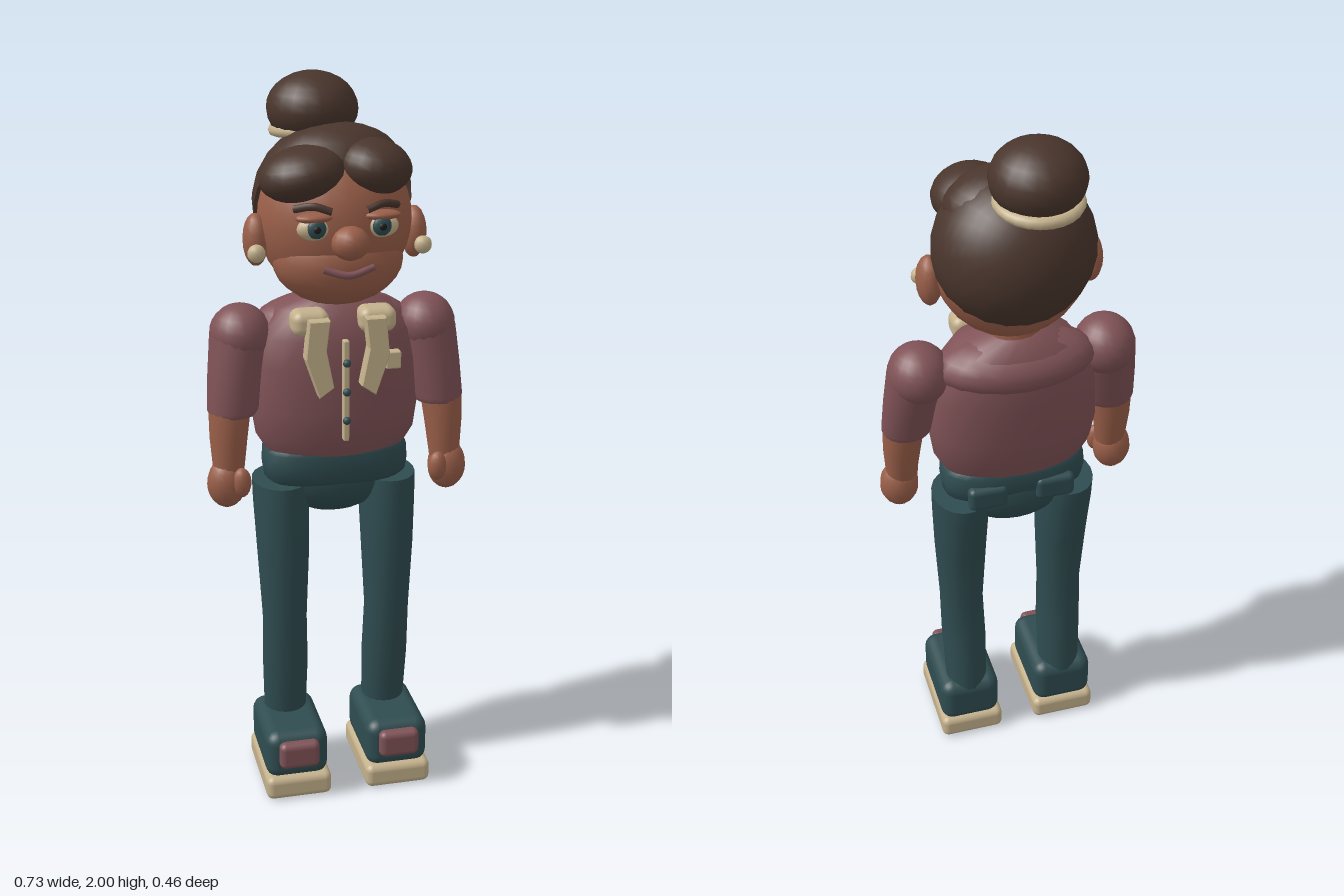
import * as THREE from 'three';
import { RoundedBoxGeometry } from 'three/addons/geometries/RoundedBoxGeometry.js';

const mat = (name, color) => {
  const m = new THREE.MeshStandardMaterial({ color });
  m.name = name;
  return m;
};

// Lofted solid from ascending rings [y, centreX, radiusX, centreZ, radiusZ]; power < 1 squares the section
function loft(rings, power = 1, sides = 18) {
  const point = r => [r[0], r[1], 0, r[3], 0];
  const first = rings[0], last = rings[rings.length - 1];
  const all = [point(first), first, ...rings, last, point(last)];
  const pos = [], idx = [];
  const bend = v => Math.sign(v) * Math.abs(v) ** power;
  all.forEach(([y, cx, rx, cz, rz], k) => {
    for (let j = 0; j < sides; j++) {
      const a = (j / sides) * Math.PI * 2;
      pos.push(cx + rx * bend(Math.cos(a)), y, cz + rz * bend(Math.sin(a)));
      if (k === all.length - 1) continue;
      const p = k * sides + j, q = k * sides + (j + 1) % sides;
      idx.push(p, p + sides, q, q, p + sides, q + sides);
    }
  });
  const g = new THREE.BufferGeometry();
  g.setAttribute('position', new THREE.Float32BufferAttribute(pos, 3));
  g.setIndex(idx);
  g.computeVertexNormals();
  return g;
}

export function createModel() {
  const root = new THREE.Group();
  root.name = 'standingFigure';
  const skin = mat('skin', 0x9a5f49), hair = mat('hair', 0x49352c), shirt = mat('shirt', 0x7f5256);
  const teal = mat('trousers', 0x2f4c50), cream = mat('cream', 0xc4b18c), dark = mat('dark', 0x1f1a1a);
  const hairShell = mat('hairShell', 0x49352c);
  hairShell.side = THREE.DoubleSide;

  const add = (name, geo, material, x = 0, y = 0, z = 0) => {
    const m = new THREE.Mesh(geo, material);
    m.name = name;
    m.position.set(x, y, z);
    root.add(m);
    return m;
  };
  const blob = (name, material, [x, y, z], [rx, ry, rz], w = 20, h = 14) => {
    const m = add(name, new THREE.SphereGeometry(1, w, h), material, x, y, z);
    m.scale.set(rx, ry, rz);
    return m;
  };
  const box = (name, material, [x, y, z], [w, h, d], r) =>
    add(name, new RoundedBoxGeometry(w, h, d, 3, r), material, x, y, z);
  const tube = (name, material, pts, r) => add(name, new THREE.TubeGeometry(
    new THREE.CatmullRomCurve3(pts.map(p => new THREE.Vector3(...p))), 12, r, 8), material);

  // Head
  blob('head', skin, [0, 1.635, 0], [0.205, 0.215, 0.18], 24, 18);
  blob('jaw', skin, [0, 1.54, 0.04], [0.175, 0.125, 0.14]);
  blob('nose', skin, [0, 1.61, 0.185], [0.05, 0.044, 0.045], 12, 10);
  add('neck', new THREE.CylinderGeometry(0.075, 0.085, 0.14, 16), skin, 0, 1.41, -0.01);
  tube('mouth', shirt, [[-0.065, 1.54, 0.168], [0, 1.525, 0.182], [0.065, 1.54, 0.168]], 0.01);

  // Hair: tilted back shell, crown, two fringe lobes and a tied bun
  const shell = new THREE.SphereGeometry(1, 24, 12, 0, Math.PI * 2, 0, Math.PI * 0.51);
  shell.rotateX(-1.15);
  add('backHair', shell, hairShell, 0, 1.675, -0.02).scale.set(0.213, 0.208, 0.2);
  blob('crownHair', hair, [0.01, 1.785, 0.0], [0.165, 0.098, 0.125]);
  blob('rightFringe', hair, [-0.1, 1.77, 0.075], [0.115, 0.07, 0.108]).rotation.z = 0.2;
  blob('leftFringe', hair, [0.085, 1.782, 0.08], [0.1, 0.072, 0.105]).rotation.z = -0.15;
  blob('bun', hair, [-0.035, 1.905, -0.108], [0.122, 0.096, 0.122]);
  const band = add('bunBand', new THREE.TorusGeometry(0.1, 0.016, 8, 24), cream, -0.035, 1.848, -0.115);
  band.rotation.x = Math.PI / 2 - 0.08;

  // Torso and neckwear
  add('torso', loft([
    [1.0, 0, 0.19, 0.0, 0.105], [1.05, 0, 0.22, 0.0, 0.122], [1.13, 0, 0.232, -0.005, 0.135],
    [1.25, 0, 0.225, -0.01, 0.137], [1.33, 0, 0.21, -0.015, 0.135], [1.4, 0, 0.16, -0.02, 0.115],
    [1.435, 0, 0.07, -0.02, 0.07]], 0.9, 24), shirt);
  blob('yoke', shirt, [0, 1.345, -0.04], [0.215, 0.085, 0.12]);
  box('placket', cream, [0, 1.2, 0.137], [0.016, 0.28, 0.024], 0.004);
  for (const y of [1.12, 1.2, 1.28]) blob('button', teal, [0, y, 0.152], [0.011, 0.011, 0.01], 10, 8);
  box('chestTag', cream, [0.13, 1.275, 0.125], [0.042, 0.048, 0.03], 0.005);

  // Hips
  add('waistband', loft([
    [0.91, 0, 0.18, 0, 0.085], [0.925, 0, 0.198, 0, 0.1], [0.96, 0, 0.203, -0.002, 0.108],
    [1.0, 0, 0.2, -0.002, 0.108], [1.015, 0, 0.185, -0.002, 0.1]], 0.75, 24), teal);
  blob('pelvis', teal, [0, 0.92, -0.01], [0.165, 0.118, 0.098]);

  for (const s of [1, -1]) {
    const side = s > 0 ? 'left' : 'right';
    // Face details
    blob(side + 'Ear', skin, [s * 0.213, 1.59, 0.012], [0.034, 0.07, 0.045], 14, 10);
    blob(side + 'Earring', cream, [s * 0.222, 1.568, 0.075], [0.024, 0.024, 0.02], 12, 10);
    blob(side + 'EyeWhite', cream, [s * 0.088, 1.645, 0.156], [0.045, 0.03, 0.026], 16, 12);
    blob(side + 'Iris', teal, [s * 0.085, 1.648, 0.176], [0.025, 0.025, 0.012], 14, 10);
    blob(side + 'Pupil', dark, [s * 0.085, 1.648, 0.184], [0.011, 0.011, 0.006], 10, 8);
    blob(side + 'Eyelid', skin, [s * 0.088, 1.674, 0.161], [0.05, 0.013, 0.026], 14, 10);
    tube(side + 'Brow', hair,
      [[s * 0.045, 1.69, 0.174], [s * 0.09, 1.703, 0.162], [s * 0.135, 1.693, 0.136]], 0.01);

    // Collar and hanging ribbon
    box(side + 'Collar', cream, [s * 0.09, 1.385, 0.1], [0.1, 0.068, 0.08], 0.025);
    const ribbon = new THREE.Shape([[0.1, 1.4], [0.05, 1.4], [0.06, 1.32], [0.04, 1.22],
      [0.075, 1.195], [0.11, 1.3]].map(([x, y]) => new THREE.Vector2(s * x, y)));
    add(side + 'Ribbon', new THREE.ExtrudeGeometry(ribbon,
      { depth: 0.035, bevelEnabled: true, bevelSize: 0.003, bevelThickness: 0.004, bevelSegments: 1 }),
    cream, 0, 0, 0.128);

    // Arm
    blob(side + 'Shoulder', shirt, [s * 0.255, 1.33, -0.012], [0.083, 0.083, 0.088]);
    add(side + 'Sleeve', loft([
      [1.12, s * 0.287, 0.062, 0.027, 0.056], [1.135, s * 0.285, 0.07, 0.025, 0.062],
      [1.23, s * 0.273, 0.076, 0.008, 0.07], [1.33, s * 0.258, 0.081, -0.01, 0.082]]), shirt);
    add(side + 'Forearm', loft([
      [0.96, s * 0.303, 0.042, 0.045, 0.038], [1.06, s * 0.3, 0.052, 0.036, 0.05],
      [1.14, s * 0.294, 0.058, 0.028, 0.053]]), skin);
    blob(side + 'Hand', skin, [s * 0.31, 0.93, 0.048], [0.054, 0.07, 0.048], 14, 12);
    blob(side + 'Thumb', skin, [s * 0.274, 0.94, 0.083], [0.026, 0.042, 0.022], 12, 10);

    // Leg
    add(side + 'Leg', loft([
      [0.16, s * 0.146, 0.06, -0.01, 0.064], [0.35, s * 0.147, 0.065, 0.008, 0.07],
      [0.5, s * 0.149, 0.063, 0.018, 0.068], [0.7, s * 0.15, 0.073, 0.01, 0.086],
      [0.84, s * 0.151, 0.078, -0.005, 0.1], [0.908, s * 0.152, 0.078, -0.01, 0.102]]), teal);
    box(side + 'BackPocket', teal, [s * 0.095, 0.945, -0.097], [0.11, 0.07, 0.04], 0.016);

    // Shoe
    box(side + 'ShoeSole', cream, [s * 0.145, 0.035, 0.06], [0.188, 0.07, 0.286], 0.02);
    box(side + 'ShoeUpper', teal, [s * 0.146, 0.128, 0.057], [0.178, 0.144, 0.264], 0.036);
    box(side + 'ToePatch', shirt, [s * 0.145, 0.142, 0.195], [0.115, 0.08, 0.04], 0.018);
  }
  return root;
}
